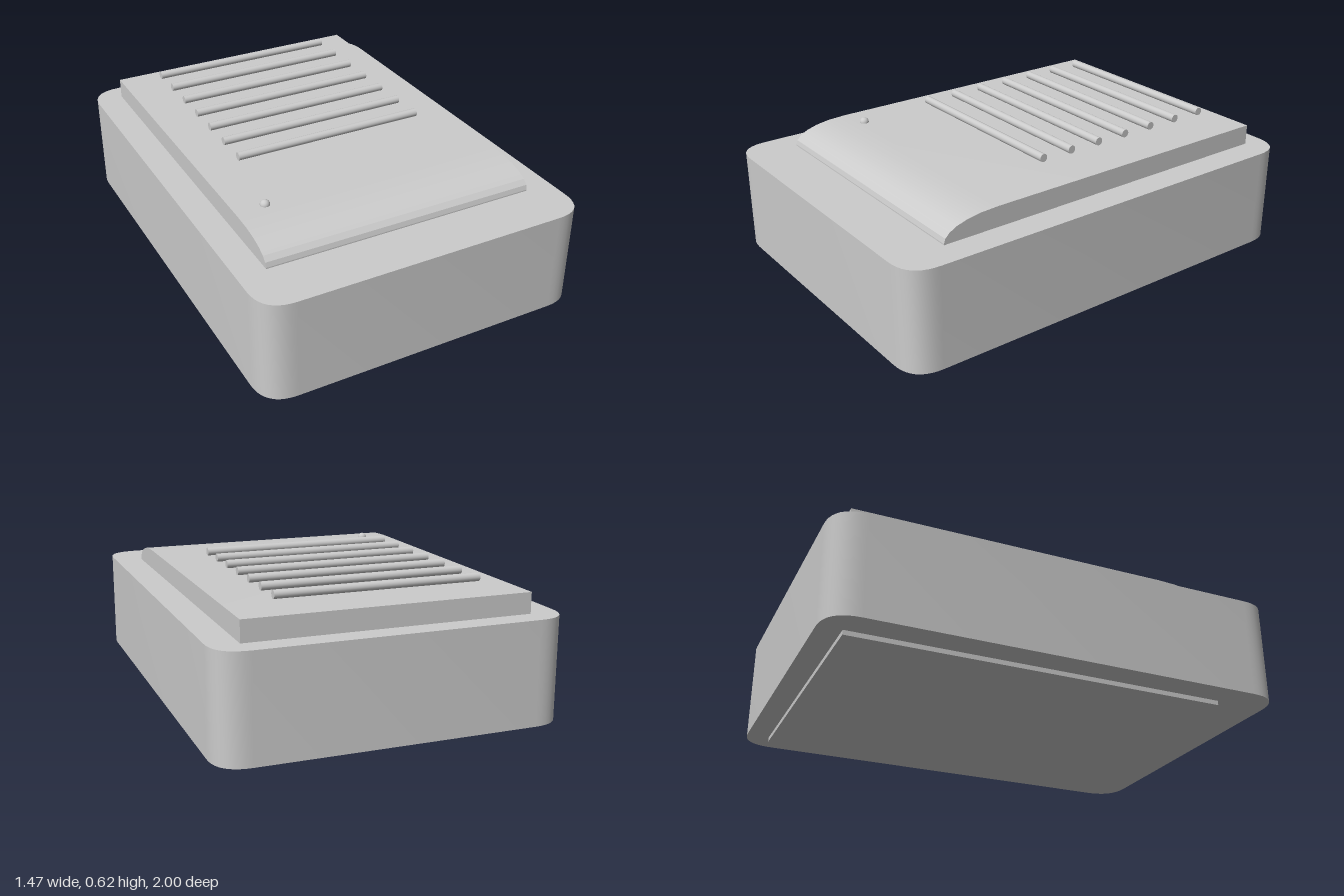
import * as THREE from 'three';
import { toCreasedNormals } from 'three/addons/utils/BufferGeometryUtils.js';

const material = new THREE.MeshStandardMaterial({ color: 0xcccccc });

function addPart(group, name, geometry, x = 0, y = 0, z = 0) {
  const mesh = new THREE.Mesh(geometry, material);
  mesh.name = name;
  mesh.position.set(x, y, z);
  group.add(mesh);
  return mesh;
}

// Rectangle with softly curved corners, extruded upwards
function roundedSlab(hw, hd, r, height) {
  const s = new THREE.Shape();
  s.moveTo(-hw + r, -hd);
  s.lineTo(hw - r, -hd);
  s.quadraticCurveTo(hw, -hd, hw, -hd + r);
  s.lineTo(hw, hd - r);
  s.quadraticCurveTo(hw, hd, hw - r, hd);
  s.lineTo(-hw + r, hd);
  s.quadraticCurveTo(-hw, hd, -hw, hd - r);
  s.lineTo(-hw, -hd + r);
  s.quadraticCurveTo(-hw, -hd, -hw + r, -hd);
  const g = new THREE.ExtrudeGeometry(s, { depth: height, bevelEnabled: false, curveSegments: 10 });
  return toCreasedNormals(g.rotateX(-Math.PI / 2), 0.5);
}

// Side profile (z, y) with a curved front top edge, extruded across x
function coreGeometry(halfWidth) {
  const s = new THREE.Shape();
  s.moveTo(-0.9, 0);
  s.lineTo(0.765, 0);
  s.lineTo(0.765, 0.47);
  s.bezierCurveTo(0.765, 0.51, 0.69, 0.555, 0.51, 0.555);
  s.lineTo(-0.9, 0.555);
  const g = new THREE.ExtrudeGeometry(s, { depth: halfWidth * 2, bevelEnabled: false, curveSegments: 6 });
  g.translate(0, 0, -halfWidth).rotateY(-Math.PI / 2);
  return toCreasedNormals(g, 0.3);
}

export function createModel() {
  const model = new THREE.Group();
  model.name = 'device';

  addPart(model, 'body', roundedSlab(0.735, 1, 0.14, 0.445), 0, 0.02, 0);
  addPart(model, 'core', coreGeometry(0.61));

  // Row of round bars floating above the top panel
  const bars = new THREE.Group();
  bars.name = 'grilleBars';
  const barGeometry = new THREE.CylinderGeometry(0.018, 0.018, 0.88, 20).rotateZ(Math.PI / 2);
  for (let i = 0; i < 7; i++) addPart(bars, 'grilleBar', barGeometry, -0.005, 0.602, 0.15 - i * 0.1515);
  model.add(bars);

  // Small indicator near the front
  addPart(model, 'indicatorLight', new THREE.SphereGeometry(0.021, 20, 14), -0.477, 0.557, 0.48);
  return model;
}
